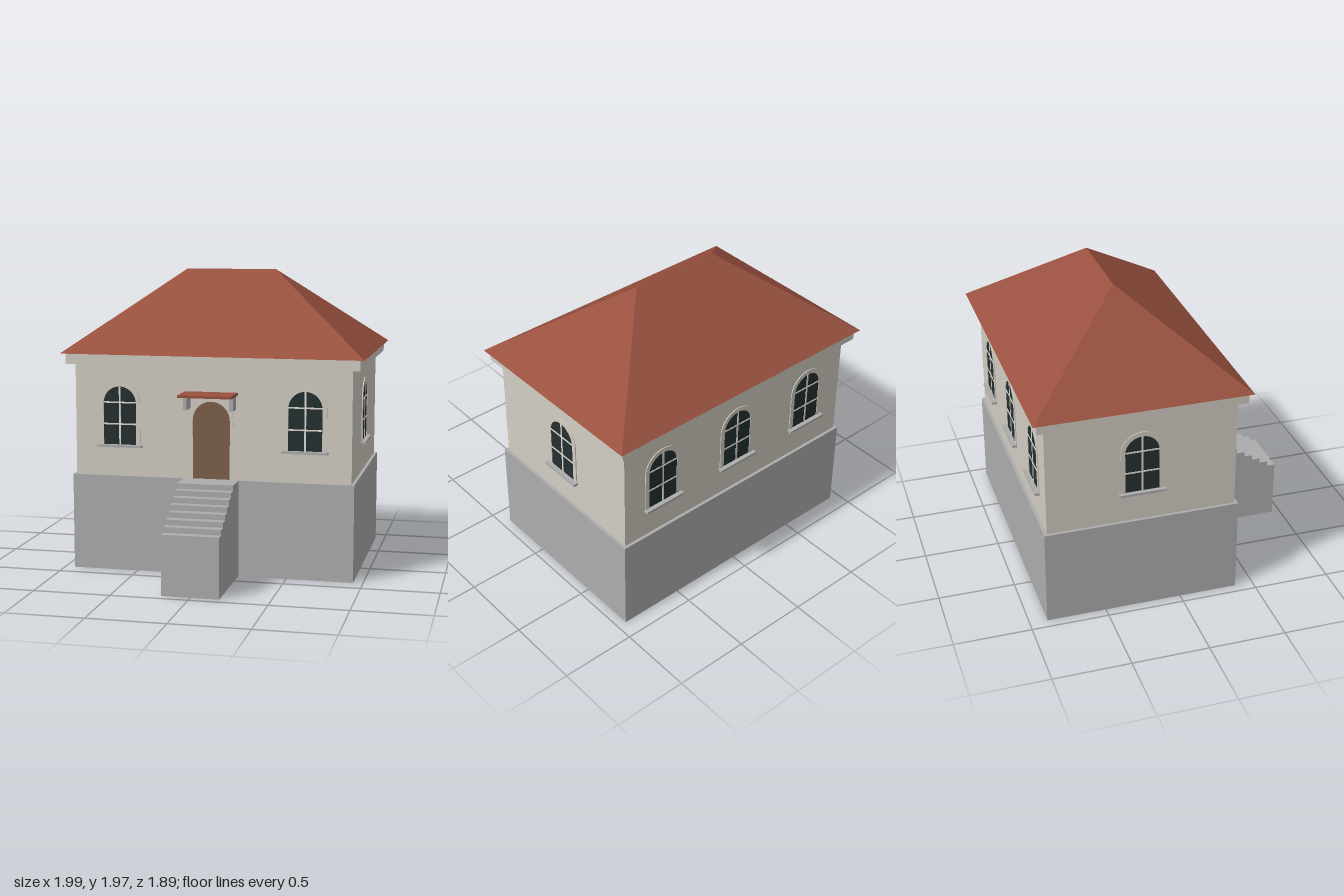
import * as THREE from 'three';

const ZC = -0.253; // centre line of the house, behind the stairs

function material(name, color, side = THREE.FrontSide) {
  const m = new THREE.MeshStandardMaterial({ color, side });
  m.name = name;
  return m;
}

function mesh(name, geometry, mat) {
  const m = new THREE.Mesh(geometry, mat);
  m.name = name;
  return m;
}

// Box given by its limits on each axis; listed faces are left out (0..5 = +x -x +y -y +z -z)
function box(name, mat, [x0, x1], [y0, y1], [z0, z1], open = []) {
  const g = new THREE.BoxGeometry(x1 - x0, y1 - y0, z1 - z0);
  g.translate((x0 + x1) / 2, (y0 + y1) / 2, (z0 + z1) / 2);
  if (open.length) {
    const index = Array.from(g.index.array);
    g.setIndex(index.filter((_, i) => !open.includes(Math.floor(i / 6))));
    g.clearGroups();
  }
  return mesh(name, g, mat);
}

// Round-headed panel standing on y = 0
function archPanel(r, spring, depth) {
  const s = new THREE.Shape();
  s.moveTo(-r, 0);
  s.lineTo(r, 0);
  s.lineTo(r, spring);
  s.absarc(0, spring, r, 0, Math.PI, false);
  s.lineTo(-r, 0);
  return new THREE.ExtrudeGeometry(s, { depth, bevelEnabled: false, curveSegments: 8 });
}

// Round-headed surround, open at the foot
function archFrame(R, r, spring, depth) {
  const s = new THREE.Shape();
  s.moveTo(R, 0);
  s.lineTo(R, spring);
  s.absarc(0, spring, R, 0, Math.PI, false);
  s.lineTo(-R, 0);
  s.lineTo(-r, 0);
  s.lineTo(-r, spring);
  s.absarc(0, spring, r, Math.PI, 0, true);
  s.lineTo(r, 0);
  return new THREE.ExtrudeGeometry(s, { depth, bevelEnabled: false, curveSegments: 12 });
}

// Hipped roof with a closed underside
function hipRoof(hx, hz, y0, y1, ridge) {
  const a = [-hx, y0, ZC + hz], b = [hx, y0, ZC + hz];
  const c = [hx, y0, ZC - hz], d = [-hx, y0, ZC - hz];
  const l = [-ridge, y1, ZC], r = [ridge, y1, ZC];
  const faces = [a, b, r, a, r, l, b, c, r, c, d, l, c, l, r, d, a, l, a, d, c, a, c, b];
  const g = new THREE.BufferGeometry();
  g.setAttribute('position', new THREE.Float32BufferAttribute(faces.flat(), 3));
  g.computeVertexNormals();
  return g;
}

export function createModel() {
  const plaster = material('plaster', 0xd3cdc3);
  const concrete = material('concrete', 0xadadad, THREE.DoubleSide);
  const tile = material('roofTile', 0x99513f);
  const wood = material('doorWood', 0x7d6048);
  const glass = material('windowGlass', 0x243030);
  const trim = material('windowBars', 0xe2ded6);

  const house = new THREE.Group();
  house.name = 'house';

  // Body
  const span = (h) => [ZC - h, ZC + h];
  house.add(
    box('basement', concrete, [-0.936, 0.936], [0, 0.635], span(0.633), [3]),
    box('walls', plaster, [-0.916, 0.916], [0.635, 1.38], span(0.613), [3]),
    box('cornice', plaster, [-0.968, 0.968], [1.37, 1.44], span(0.665)),
    mesh('roof', hipRoof(0.997, 0.692, 1.44, 1.97, 0.307), tile)
  );

  // Windows: local z = 0 is the wall face
  const paneGeo = archPanel(0.11, 0.275, 0.002);
  const frameGeo = archFrame(0.14, 0.11, 0.275, 0.006);
  function addWindow(x, z, turn) {
    const w = new THREE.Group();
    w.name = 'window';
    w.add(
      mesh('pane', paneGeo, glass),
      mesh('windowFrame', frameGeo, plaster),
      box('verticalBar', trim, [-0.006, 0.006], [0, 0.383], [0, 0.005]),
      box('sill', concrete, [-0.15, 0.15], [-0.015, 0.001], [0, 0.031])
    );
    for (const y of [0.137, 0.28]) {
      w.add(box('crossBar', trim, [-0.109, 0.109], [y - 0.005, y + 0.005], [0, 0.005]));
    }
    w.position.set(x, 0.84, z);
    w.rotation.y = turn;
    house.add(w);
  }
  for (const x of [-0.615, 0.615]) addWindow(x, ZC + 0.613, 0);
  for (const x of [-0.615, 0, 0.615]) addWindow(x, ZC - 0.613, Math.PI);
  for (const side of [-1, 1]) addWindow(side * 0.916, ZC, side * Math.PI / 2);

  // Door
  const door = new THREE.Group();
  door.name = 'door';
  door.add(
    mesh('doorLeaf', archPanel(0.123, 0.385, 0.002), wood),
    mesh('doorFrame', archFrame(0.148, 0.123, 0.385, 0.006), plaster)
  );
  door.position.set(0, 0.635, ZC + 0.613);
  house.add(door);

  // Canopy on two brackets
  house.add(box('canopy', tile, [-0.175, 0.175], [1.19, 1.206], [0.36, 0.567]));
  for (const x of [-0.152, 0.152]) {
    house.add(box('canopyBracket', concrete, [x - 0.012, x + 0.012], [1.097, 1.19], [0.36, 0.463]));
  }

  // Landing, hollow underneath
  const steps = 7, z0 = 0.545, run = 0.0572, rise = 0.035;
  house.add(box('landing', concrete, [-0.184, 0.184], [0, 0.635], [0.38, z0], [3, 4, 5]));

  // Solid flight: stepped side profile extruded across the width
  const profile = new THREE.Shape();
  profile.moveTo(z0, 0);
  profile.lineTo(z0 + steps * run, 0);
  for (let i = steps; i > 0; i--) {
    const y = 0.635 - i * rise;
    profile.lineTo(z0 + i * run, y);
    profile.lineTo(z0 + (i - 1) * run, y);
  }
  const flight = new THREE.ExtrudeGeometry(profile, { depth: 0.368, bevelEnabled: false });
  flight.rotateY(-Math.PI / 2);
  flight.translate(0.184, 0, 0);
  house.add(mesh('stairs', flight, concrete));
  // Riser closing the landing above the flight
  house.add(box('landingRiser', concrete, [-0.184, 0.184], [0.6, 0.635], [z0 - 0.01, z0]));

  return house;
}
